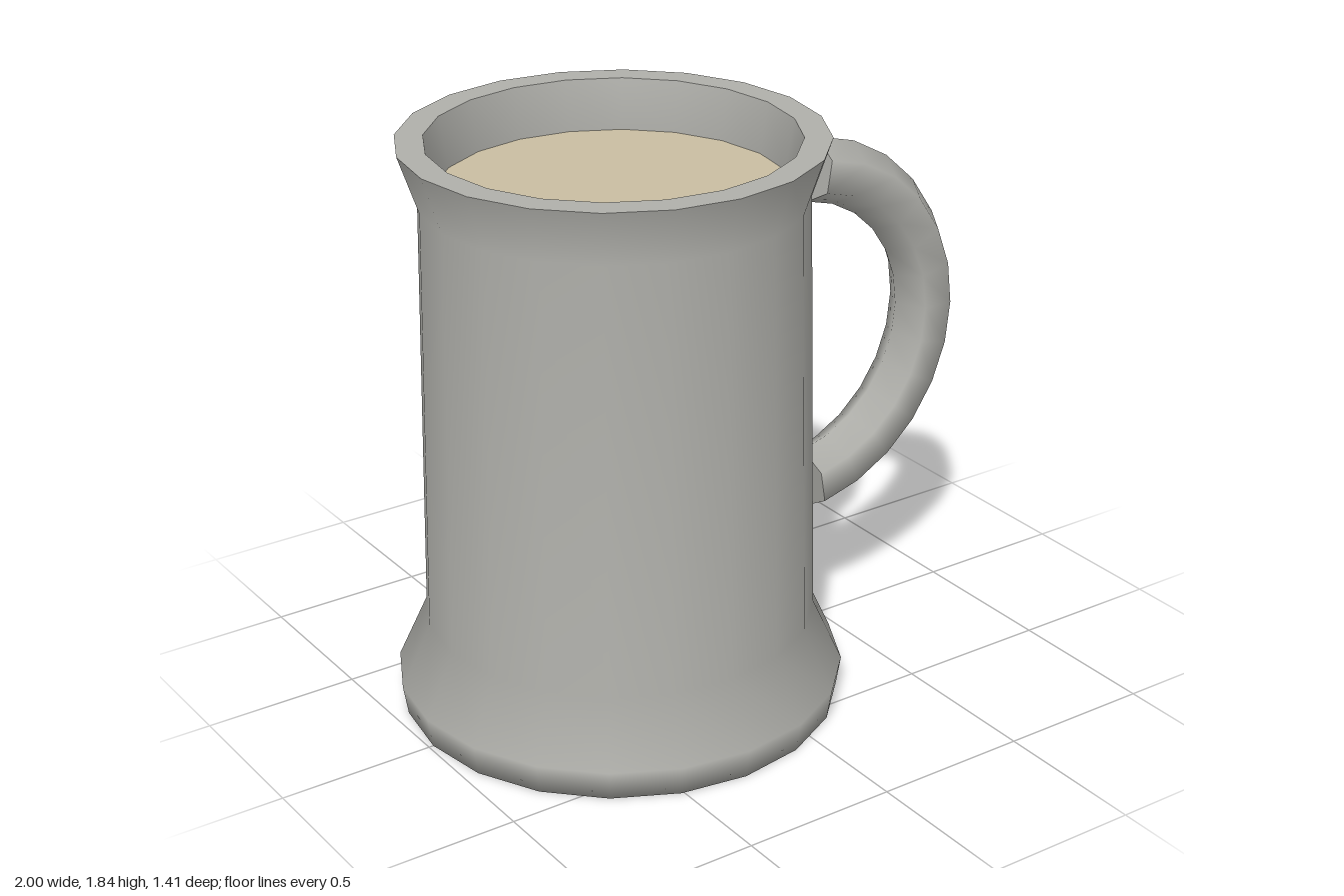
import * as THREE from 'three';

const pewter = new THREE.MeshStandardMaterial({ color: 0xb0b0ab });
pewter.name = 'pewter';
const ale = new THREE.MeshStandardMaterial({ color: 0xc9bea2 });
ale.name = 'ale';

const SIDES = 20;

function add(group, name, geometry, material) {
  const mesh = new THREE.Mesh(geometry, material);
  mesh.name = name;
  group.add(mesh);
  return mesh;
}

const lathe = (points) =>
  new THREE.LatheGeometry(points.map(([r, y]) => new THREE.Vector2(r, y)), SIDES);

export function createModel() {
  const model = new THREE.Group();
  model.name = 'tankard';

  // Cup: outer wall with flared foot and lip, flat rim, inner wall and floor
  const cup = new THREE.Group();
  cup.name = 'cup';
  cup.position.x = -0.295;
  model.add(cup);
  add(cup, 'outerWall', lathe([
    [0, 0], [0.69, 0], [0.705, 0.095], [0.612, 0.3], [0.585, 1.66], [0.645, 1.84],
  ]), pewter);
  add(cup, 'rim', lathe([[0.645, 1.84], [0.56, 1.84]]), pewter);
  add(cup, 'innerWall', lathe([[0.56, 1.84], [0.53, 1.66], [0.54, 0.1]]), pewter);
  add(cup, 'innerFloor', lathe([[0.54, 0.1], [0, 0.1]]), pewter);

  // Drink surface just below the lip
  const drink = add(cup, 'drink', new THREE.CircleGeometry(0.533, SIDES).rotateX(-Math.PI / 2), ale);
  drink.position.y = 1.68;

  // Handle: six-sided arc with a flat cap on each end
  const R = 0.54, r = 0.105;
  const arc = THREE.MathUtils.degToRad(162);
  const handle = new THREE.Group();
  handle.name = 'handle';
  handle.position.set(0.355, 1.055, 0);
  handle.rotation.z = -arc / 2;
  model.add(handle);
  add(handle, 'handleArc', new THREE.TorusGeometry(R, r, 6, 12, arc), pewter);
  for (const [name, angle, turn] of [['lowerCap', 0, 1], ['upperCap', arc, -1]]) {
    const cap = new THREE.CircleGeometry(r, 6)
      .rotateX(turn * Math.PI / 2)
      .translate(R, 0, 0)
      .rotateZ(angle);
    add(handle, name, cap, pewter);
  }

  return model;
}
